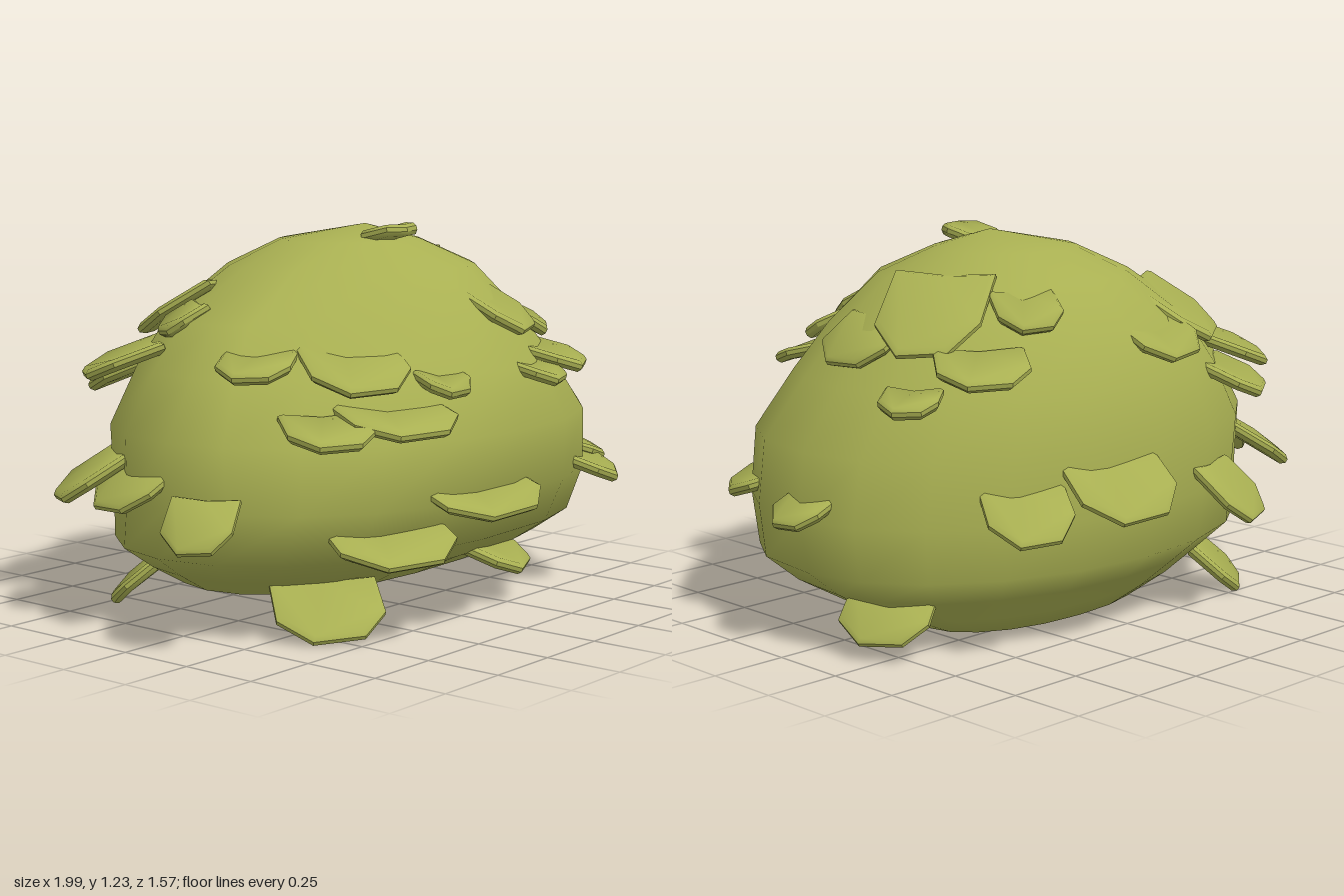
import * as THREE from 'three';
import { toCreasedNormals } from 'three/addons/utils/BufferGeometryUtils.js';

const SEGMENTS = 20;

// Mound cross-sections: height, left/right x limits, back/front z limits,
// corner softness at -x front, +x front and back (lower is squarer)
const RINGS = [
  [0.05, -0.30, 0.57, -0.42, 0.05, 0.9, 0.8, 0.92],
  [0.10, -0.54, 0.69, -0.46, 0.26, 0.9, 0.7, 0.95],
  [0.18, -0.70, 0.82, -0.54, 0.43, 0.9, 0.68, 0.98],
  [0.26, -0.83, 0.91, -0.62, 0.56, 0.9, 0.74, 1],
  [0.42, -0.84, 0.91, -0.64, 0.67, 0.95, 0.86, 1],
  [0.62, -0.84, 0.88, -0.65, 0.70, 1.1, 0.9, 0.98],
  [0.80, -0.72, 0.75, -0.60, 0.63, 1.32, 0.95, 0.98],
  [0.95, -0.60, 0.64, -0.53, 0.53, 1.4, 0.97, 1],
  [1.10, -0.35, 0.47, -0.40, 0.39, 1.25, 0.97, 1],
  [1.18, -0.17, 0.30, -0.24, 0.21, 1, 0.97, 1],
];

// Smooth closed body lofted through the cross-sections
function moundGeometry() {
  const pos = [], index = [];
  const soft = (v, e) => Math.sign(v) * Math.pow(Math.abs(v), e);
  for (const [y, x0, x1, z0, z1, frontRight, frontLeft, back] of RINGS) {
    const cx = (x0 + x1) / 2, cz = (z0 + z1) / 2;
    for (let j = 0; j < SEGMENTS; j++) {
      const t = (j / SEGMENTS) * Math.PI * 2, s = Math.sin(t), c = Math.cos(t);
      const e = c < 0 ? back : s > 0 ? frontLeft : frontRight;
      pos.push(cx + soft(s, e) * (x1 - x0) / 2, y, cz + soft(c, e) * (z1 - z0) / 2);
    }
  }
  const bottom = pos.length / 3, top = bottom + 1, last = (RINGS.length - 1) * SEGMENTS;
  pos.push(0.12, 0.038, -0.18, 0.08, 1.23, 0.04);
  for (let j = 0; j < SEGMENTS; j++) {
    const k = (j + 1) % SEGMENTS;
    for (let i = 0; i < RINGS.length - 1; i++) {
      const a = i * SEGMENTS, b = a + SEGMENTS;
      index.push(a + j, a + k, b + k, a + j, b + k, b + j);
    }
    index.push(bottom, k, j, top, last + j, last + k);
  }
  const geo = new THREE.BufferGeometry();
  geo.setAttribute('position', new THREE.Float32BufferAttribute(pos, 3));
  geo.setIndex(index);
  geo.computeVertexNormals();
  return geo;
}

// Thin bevelled plate of unit width and length, blunt tip towards +z, sides cupped slightly upward
function leafGeometry() {
  const outline = [[-0.46, -0.46], [0, -0.46], [0.46, -0.46], [0.48, 0.1], [0.27, 0.42], [-0.18, 0.47], [-0.46, 0.17]];
  const shape = new THREE.Shape(outline.map(([x, y]) => new THREE.Vector2(x, y)));
  const geo = new THREE.ExtrudeGeometry(shape, {
    depth: 0.014, bevelThickness: 0.012, bevelSize: 0.05, bevelOffset: -0.02, bevelSegments: 1,
  });
  geo.translate(0, 0, -0.007).rotateX(Math.PI / 2);
  const p = geo.attributes.position;
  for (let i = 0; i < p.count; i++) p.setY(i, p.getY(i) + 0.06 * p.getX(i) ** 2 - 0.005);
  return toCreasedNormals(geo, 0.5);
}

// Leaves: x, y, z of the centre, width, length, droop angle
const FRONT_LEAVES = [
  [-0.42, 0.32, 0.55, 0.40, 0.28, 0.35],
  [-0.10, 0.43, 0.66, 0.45, 0.24, 0.35],
  [-0.48, 0.09, 0.35, 0.34, 0.26, 0.55],
  [0.27, 0.16, 0.44, 0.28, 0.22, 0.35],
  [0.60, 0.43, 0.57, 0.27, 0.22, 0.35],
  [0.74, 0.46, 0.41, 0.31, 0.22, 0.3],
  [-0.63, 0.67, 0.48, 0.27, 0.24, 0.2],
  [-0.40, 0.69, 0.56, 0.36, 0.28, 0.2],
  [-0.42, 0.83, 0.41, 0.32, 0.28, 0.4],
  [-0.20, 0.78, 0.58, 0.17, 0.14, 0.3],
  [-0.63, 0.84, 0.19, 0.23, 0.20, 0.25],
  [0.20, 0.97, 0.48, 0.25, 0.26, 0.5],
  [0.42, 0.92, 0.43, 0.15, 0.18, 0.45],
  [0.23, 0.78, 0.62, 0.19, 0.18, 0.25],
  [0.39, 0.81, 0.57, 0.25, 0.22, 0.25],
  [0.06, 1.205, 0.17, 0.18, 0.14, -0.25],
];
const SIDE_LEAVES = [
  [0.91, 0.45, 0.00, 0.20, 0.18, 0.4],
  [0.76, 0.13, -0.21, 0.29, 0.22, 0.65],
  [-0.91, 0.40, 0.22, 0.22, 0.20, 0.75],
  [0.53, 1.02, -0.17, 0.33, 0.36, 0.62],
  [0.64, 0.93, 0.03, 0.30, 0.22, 0.6],
  [0.76, 0.80, -0.32, 0.18, 0.16, 0.2],
  [-0.82, 0.47, -0.14, 0.30, 0.24, 0.55],
  [-0.78, 0.47, -0.36, 0.26, 0.26, 0.55],
  [-0.54, 0.95, -0.19, 0.16, 0.16, 0.5],
];
const BACK_LEAVES = [
  [0.57, 0.89, -0.43, 0.28, 0.24, 0.25],
  [0.33, 1.03, -0.38, 0.21, 0.18, 0.5],
  [0.22, 0.52, -0.67, 0.36, 0.28, 0.65],
  [-0.30, 0.42, -0.67, 0.23, 0.24, 0.7],
  [0.52, 0.47, -0.57, 0.27, 0.26, 0.6],
  [-0.52, 0.09, -0.42, 0.22, 0.22, 0.7],
  [-0.35, 0.97, -0.37, 0.34, 0.32, 0.55],
  [-0.12, 0.92, -0.52, 0.31, 0.22, 0.5],
  [-0.62, 0.82, -0.37, 0.30, 0.28, 0.35],
  [-0.48, 0.75, -0.52, 0.25, 0.22, 0.4],
];

export function createModel() {
  const olive = new THREE.MeshStandardMaterial({ color: 0xa9b052 });
  olive.name = 'olive green';
  const model = new THREE.Group();
  model.name = 'leafyBush';

  const mound = new THREE.Mesh(moundGeometry(), olive);
  mound.name = 'mound';
  model.add(mound);

  // Each leaf faces outward from the mound and tips downward
  const leaf = leafGeometry();
  const addLeaves = (name, list) => {
    const group = new THREE.Group();
    group.name = name;
    list.forEach(([x, y, z, width, length, droop], i) => {
      const mesh = new THREE.Mesh(leaf, olive);
      mesh.name = `leaf${i + 1}`;
      mesh.position.set(x, y, z);
      mesh.rotation.set(droop, Math.atan2(x * 0.6, z), 0, 'YXZ');
      mesh.scale.set(width, 1, length);
      group.add(mesh);
    });
    model.add(group);
  };
  addLeaves('frontLeaves', FRONT_LEAVES);
  addLeaves('sideLeaves', SIDE_LEAVES);
  addLeaves('backLeaves', BACK_LEAVES);
  return model;
}
